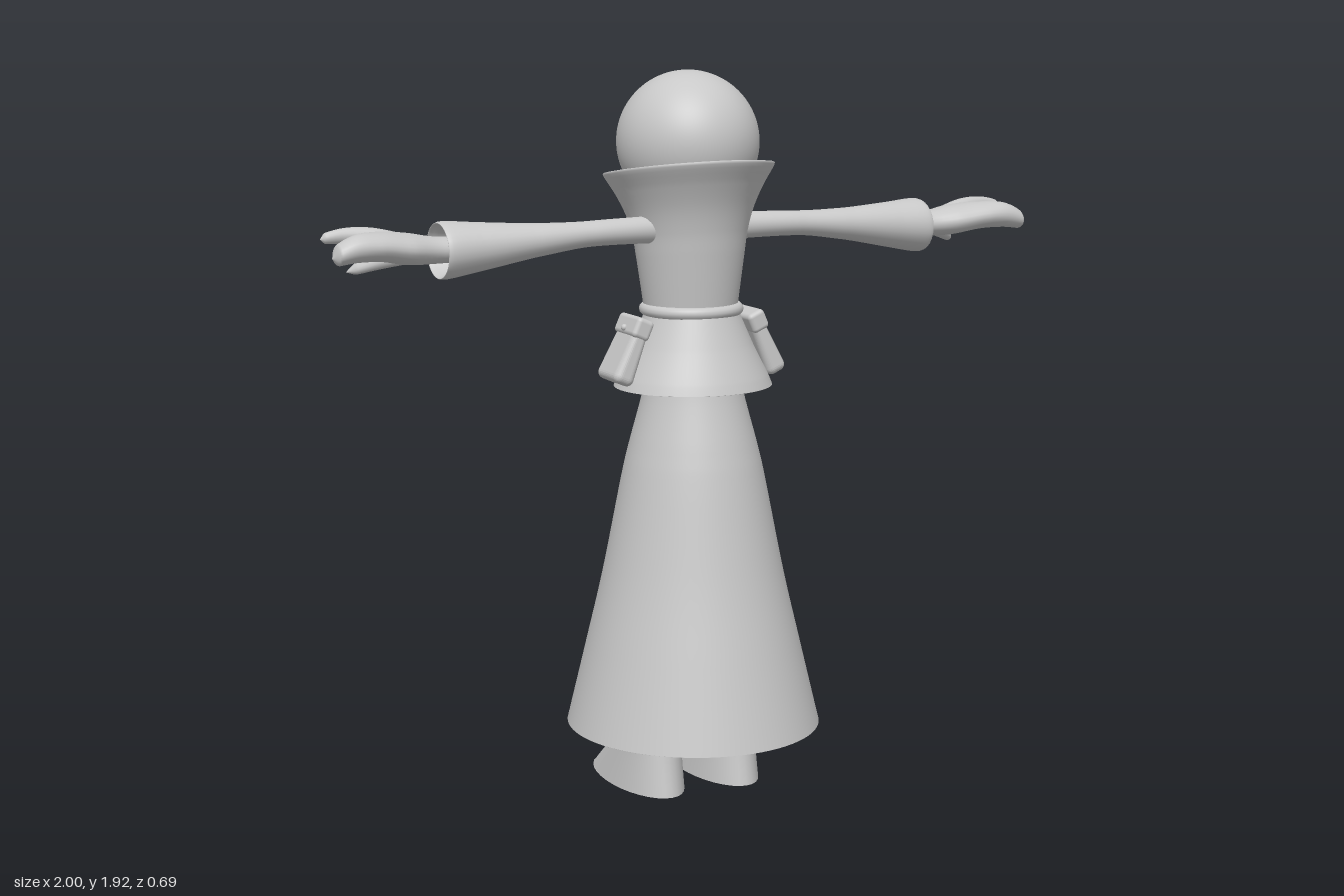
import * as THREE from 'three';
import { mergeVertices } from 'three/addons/utils/BufferGeometryUtils.js';
import { RoundedBoxGeometry } from 'three/addons/geometries/RoundedBoxGeometry.js';
import { ParametricGeometry } from 'three/addons/geometries/ParametricGeometry.js';

const V3 = (x, y, z) => new THREE.Vector3(x, y, z);
const clay = new THREE.MeshStandardMaterial({ color: 0xc8c8c8, side: THREE.DoubleSide });
clay.name = 'clay grey';

function add(parent, name, geometry) {
  const mesh = new THREE.Mesh(geometry, clay);
  mesh.name = name;
  parent.add(mesh);
  return mesh;
}

// Smooth surface through oval sections [along, c1, c2, r1, r2] on the x or y axis
function loft(sections, axis, nu = 24, nv = 28) {
  const centre = new THREE.CatmullRomCurve3(sections.map(s => V3(s[0], s[1], s[2])));
  const radii = new THREE.CatmullRomCurve3(sections.map(s => V3(s[3], s[4], 0)));
  return new ParametricGeometry((u, v, out) => {
    const c = centre.getPoint(v), r = radii.getPoint(v), a = u * Math.PI * 2;
    if (axis === 'x') out.set(c.x, c.y + r.x * Math.cos(a), c.z + r.y * Math.sin(a));
    else out.set(c.y + r.x * Math.sin(a), c.x, c.z + r.y * Math.cos(a));
  }, nu, nv);
}

// Round shape with two circular eye holes; vertices inside a hole slide to its edge
function headGeometry() {
  let g = new THREE.SphereGeometry(1, 96, 64);
  g.deleteAttribute('uv');
  g.deleteAttribute('normal');
  g = mergeVertices(g);
  const pos = g.attributes.position, inside = [], p = V3(0, 0, 0);
  const reach = 0.29;
  const holes = [-1, 1].map(s => V3(s * 0.45, -0.19, -0.87).normalize());
  for (let i = 0; i < pos.count; i++) {
    p.fromBufferAttribute(pos, i).normalize();
    for (const n of holes) {
      if (p.angleTo(n) >= reach) continue;
      inside[i] = true;
      const side = p.clone().addScaledVector(n, -p.dot(n)).normalize();
      p.copy(n).multiplyScalar(Math.cos(reach)).addScaledVector(side, Math.sin(reach));
    }
    pos.setXYZ(i, p.x * 0.185, 1.735 + p.y * 0.185, -0.03 + p.z * 0.195);
  }
  const kept = [], ix = g.index.array;
  for (let i = 0; i < ix.length; i += 3) {
    const tri = [ix[i], ix[i + 1], ix[i + 2]];
    if (!tri.every(k => inside[k])) kept.push(...tri);
  }
  g.setIndex(kept);
  g.computeVertexNormals();
  return g;
}

// Wrapped jacket with a flared collar, overlapping at the face side
function jacketGeometry() {
  // radius, height fraction: outside going up, then inside the collar going down
  const profile = new THREE.SplineCurve([
    [0.122, 0], [0.132, 0.2], [0.142, 0.4], [0.15, 0.55], [0.165, 0.7], [0.19, 0.85],
    [0.219, 0.985], [0.212, 1], [0.2, 0.985], [0.172, 0.85], [0.148, 0.7], [0.13, 0.5],
  ].map(a => new THREE.Vector2(...a)));
  return new ParametricGeometry((u, v, out) => {
    const a = Math.PI - 0.4 + u * (Math.PI * 2 + 0.4);
    const q = profile.getPoint(v);
    const lift = Math.max(q.y, 0);
    const tip = Math.exp(-(((a - Math.PI + 0.34) / 0.45) ** 2));
    const face = Math.max(0, -Math.cos(a));
    const r = q.x + 0.012 * Math.max(0, 1 - u * 5) + 0.035 * tip * lift ** 5 + 0.02 * face * lift ** 2;
    const top = 1.667 + 0.033 * Math.cos(a);
    out.set(r * Math.sin(a), 1.29 + (top - 1.29) * q.y, -0.014 + r * Math.cos(a));
  }, 60, 44);
}

// Long skirt with thickness, split at the face side with rounded lower corners
function skirtGeometry() {
  const profile = new THREE.SplineCurve([
    [0.343, 0.18], [0.29, 0.4], [0.243, 0.6], [0.193, 0.85], [0.172, 0.94], [0.13, 1.1], [0.115, 1.22],
  ].map(a => new THREE.Vector2(...a)));
  return new ParametricGeometry((u, v, out) => {
    const q = profile.getPoint(v * v);
    const h = Math.max(0, q.y - 0.18);
    const k = Math.max(0, 1 - h / 0.1);
    const gap = 0.02 + 0.12 * Math.max(0, 1 - h / 0.85) + 0.2 * (1 - Math.sqrt(1 - k * k));
    const thick = 0.018 * Math.min(1, 0.1 + h / 0.012);
    // around the outside, across one edge, back along the inside, across the other
    let t, d;
    if (u <= 0.48) { t = u / 0.48; d = 0; }
    else if (u <= 0.5) { t = 1; d = (u - 0.48) / 0.02; }
    else if (u <= 0.98) { t = 1 - (u - 0.5) / 0.48; d = 1; }
    else { t = 0; d = 1 - (u - 0.98) / 0.02; }
    const a = -Math.PI + gap + t * (Math.PI * 2 - gap * 2);
    const r = q.x - thick * d;
    out.set(r * Math.sin(a) * 0.985, q.y, r * Math.cos(a) * 1.02);
  }, 150, 44);
}

function buildArm() {
  const arm = new THREE.Group();
  // Sleeve, turned inward at the cuff
  add(arm, 'sleeve', loft([
    [0.1, 1.515, 0.018, 0.036, 0.036], [0.2, 1.515, 0.02, 0.034, 0.037],
    [0.3, 1.513, 0.02, 0.033, 0.037], [0.45, 1.503, 0.012, 0.043, 0.048],
    [0.6, 1.492, -0.006, 0.062, 0.068], [0.69, 1.486, -0.02, 0.073, 0.084],
    [0.703, 1.485, -0.02, 0.07, 0.08], [0.69, 1.486, -0.02, 0.063, 0.073],
    [0.58, 1.492, -0.005, 0.04, 0.045],
  ], 'x', 28, 48));
  // Hand with joined outer fingers
  add(arm, 'palm', loft([
    [0.6, 1.49, -0.005, 0.03, 0.04], [0.72, 1.49, -0.005, 0.034, 0.048],
    [0.8, 1.498, -0.003, 0.04, 0.074], [0.87, 1.508, 0.018, 0.037, 0.064],
    [0.94, 1.508, 0.041, 0.034, 0.042], [0.985, 1.495, 0.044, 0.026, 0.034],
    [0.999, 1.488, 0.044, 0.001, 0.001],
  ], 'x'));
  add(arm, 'indexFinger', loft([
    [0.78, 1.505, -0.03, 0.025, 0.03], [0.86, 1.522, -0.053, 0.026, 0.026],
    [0.93, 1.53, -0.062, 0.02, 0.018], [0.98, 1.526, -0.064, 0.014, 0.014],
    [0.993, 1.524, -0.064, 0.001, 0.001],
  ], 'x', 16, 16));
  add(arm, 'thumb', loft([
    [0.73, 1.49, -0.03, 0.026, 0.03], [0.78, 1.476, -0.07, 0.027, 0.035],
    [0.83, 1.456, -0.112, 0.021, 0.03], [0.875, 1.437, -0.143, 0.015, 0.021],
    [0.897, 1.428, -0.155, 0.001, 0.001],
  ], 'x', 16, 16));
  return arm;
}

function buildLeg() {
  const leg = new THREE.Group();
  add(leg, 'boot', loft([
    [0, 0.113, -0.11, 0.096, 0.21], [0.09, 0.112, -0.064, 0.083, 0.147],
    [0.18, 0.11, -0.015, 0.071, 0.083], [0.3, 0.105, 0, 0.063, 0.065],
    [0.6, 0.09, 0, 0.062, 0.062], [0.95, 0.065, 0, 0.055, 0.06],
  ], 'y', 32, 30));
  const sole = add(leg, 'sole', new THREE.CircleGeometry(1, 32));
  sole.rotation.x = Math.PI / 2;
  sole.scale.set(0.096, 0.21, 1);
  sole.position.set(0.113, 0.001, -0.11);
  return leg;
}

// Hanging belt pouch with a flap and a stud
function buildPouch() {
  const pouch = new THREE.Group();
  const body = new RoundedBoxGeometry(0.06, 0.175, 0.13, 4, 0.02);
  const pos = body.attributes.position;
  for (let i = 0; i < pos.count; i++) {
    const t = 0.5 - pos.getY(i) / 0.175;
    pos.setX(i, pos.getX(i) * (0.6 + 0.4 * t));
    pos.setZ(i, pos.getZ(i) * (0.85 + 0.15 * t));
  }
  body.computeVertexNormals();
  add(pouch, 'pouchBody', body);
  const flap = add(pouch, 'pouchFlap', new RoundedBoxGeometry(0.05, 0.055, 0.125, 3, 0.012));
  flap.position.set(0.002, 0.066, 0);
  const stud = add(pouch, 'pouchStud', new THREE.SphereGeometry(0.009, 12, 8));
  stud.position.set(0.028, 0.055, 0);
  pouch.position.set(0.194, 1.2, -0.005);
  pouch.rotation.z = 0.42;
  const holder = new THREE.Group();
  holder.add(pouch);
  return holder;
}

export function createModel() {
  const model = new THREE.Group();
  model.name = 'robedFigure';

  add(model, 'head', headGeometry());
  add(model, 'jacket', jacketGeometry());
  add(model, 'skirt', skirtGeometry());

  // Short flared jacket hem below the belt, with a turned-in edge
  add(model, 'jacketHem', loft([
    [1.15, 0, 0, 0.165, 0.155], [1.105, 0, 0, 0.2, 0.188], [1.098, 0, 0, 0.212, 0.2],
    [1.12, 0, 0, 0.203, 0.192], [1.2, 0, -0.003, 0.163, 0.16], [1.3, 0, -0.008, 0.12, 0.125],
  ], 'y', 48, 40));

  const belt = add(model, 'belt', new THREE.TorusGeometry(0.122, 0.016, 12, 48));
  belt.rotation.x = Math.PI / 2;
  belt.position.set(0, 1.3, -0.01);

  // Paired parts
  for (const [side, sx] of [['left', 1], ['right', -1]]) {
    const parts = { Arm: buildArm(), Leg: buildLeg(), Pouch: buildPouch() };
    for (const [name, part] of Object.entries(parts)) {
      part.name = side + name;
      part.scale.x = sx;
      model.add(part);
    }
  }
  return model;
}
